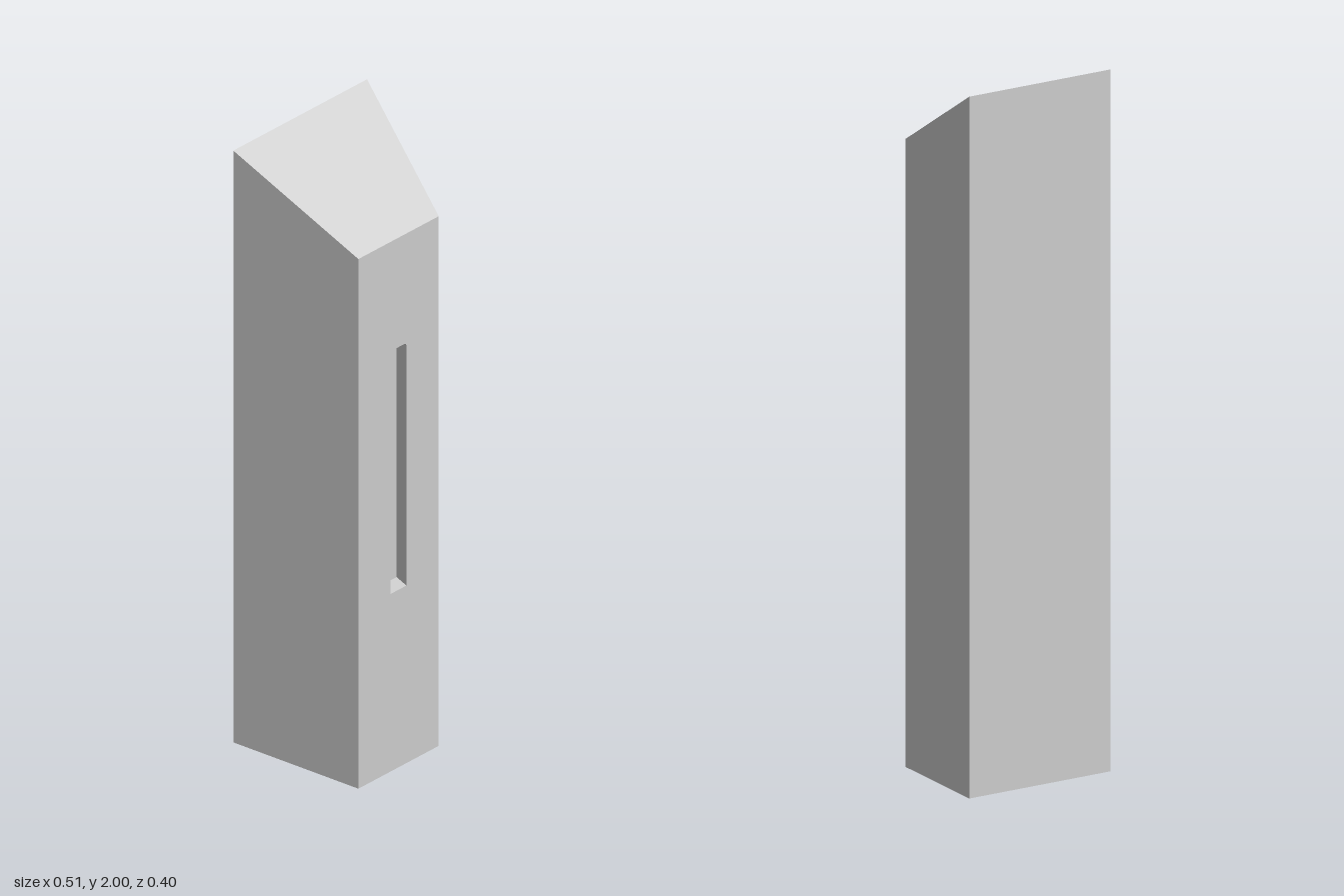
import * as THREE from 'three';

const FRONT = 0.2, BACK = -0.2, FRONT_HALF = 0.152, BACK_HALF = 0.253;
const FRONT_TOP = 1.79, BACK_TOP = 2;
const SLOT = { half: 0.03, bottom: 0.6, top: 1.42, radius: 0.01, depth: 0.04, rise: 0.008 };

// flat-shaded surface from four-cornered faces, corners counter-clockwise from outside
function quads(faces) {
  const points = faces.flatMap(([a, b, c, d]) => [a, b, c, a, c, d]);
  const geometry = new THREE.BufferGeometry();
  geometry.setAttribute('position', new THREE.Float32BufferAttribute(points.flat(), 3));
  geometry.computeVertexNormals();
  return geometry;
}

// slot outline, counter-clockwise, with slightly rounded upper corners
function slotPath() {
  const { half: h, bottom, top, radius: r } = SLOT;
  const path = new THREE.Path();
  path.moveTo(-h, bottom);
  path.lineTo(h, bottom);
  path.lineTo(h, top - r);
  path.absarc(h - r, top - r, r, 0, Math.PI / 2);
  path.absarc(-h + r, top - r, r, Math.PI / 2, Math.PI);
  path.closePath();
  return path;
}

export function createModel() {
  const group = new THREE.Group();
  const material = new THREE.MeshStandardMaterial({ color: 0xcccccc, flatShading: true });
  const add = (name, geometry) => {
    const mesh = new THREE.Mesh(geometry, material);
    mesh.name = name;
    group.add(mesh);
    return mesh;
  };

  // tapered post: back, sides, sloping top and base
  const ring = (half, top, z) => [[-half, 0, z], [half, 0, z], [half, top, z], [-half, top, z]];
  const f = ring(FRONT_HALF, FRONT_TOP, FRONT);
  const b = ring(BACK_HALF, BACK_TOP, BACK);
  const shell = f.map((_, i) => {
    const j = (i + 1) % 4;
    return [f[i], b[i], b[j], f[j]];
  });
  shell.push([b[1], b[0], b[3], b[2]]);
  add('postBody', quads(shell));

  // front face with the slot cut out
  const face = new THREE.Shape(f.map(([x, y]) => new THREE.Vector2(x, y)));
  const path = slotPath();
  face.holes.push(path);
  add('frontFace', new THREE.ShapeGeometry(face, 6)).position.z = FRONT;

  // slot walls, with a sill that rises towards the back
  const outline = path.getPoints(6);
  const inner = (p) => [p.x, p.y === SLOT.bottom ? p.y + SLOT.rise : p.y, FRONT - SLOT.depth];
  const outer = (p) => [p.x, p.y, FRONT];
  const walls = [];
  for (let i = 0; i < outline.length - 1; i++) {
    const p = outline[i], q = outline[i + 1];
    if (p.distanceTo(q) > 1e-6) walls.push([outer(p), outer(q), inner(q), inner(p)]);
  }
  add('slotWalls', quads(walls));

  // slot back
  const back = new THREE.Shape(outline.slice(0, -1).map((p) => new THREE.Vector2(...inner(p).slice(0, 2))));
  add('slotBack', new THREE.ShapeGeometry(back)).position.z = FRONT - SLOT.depth;

  return group;
}
